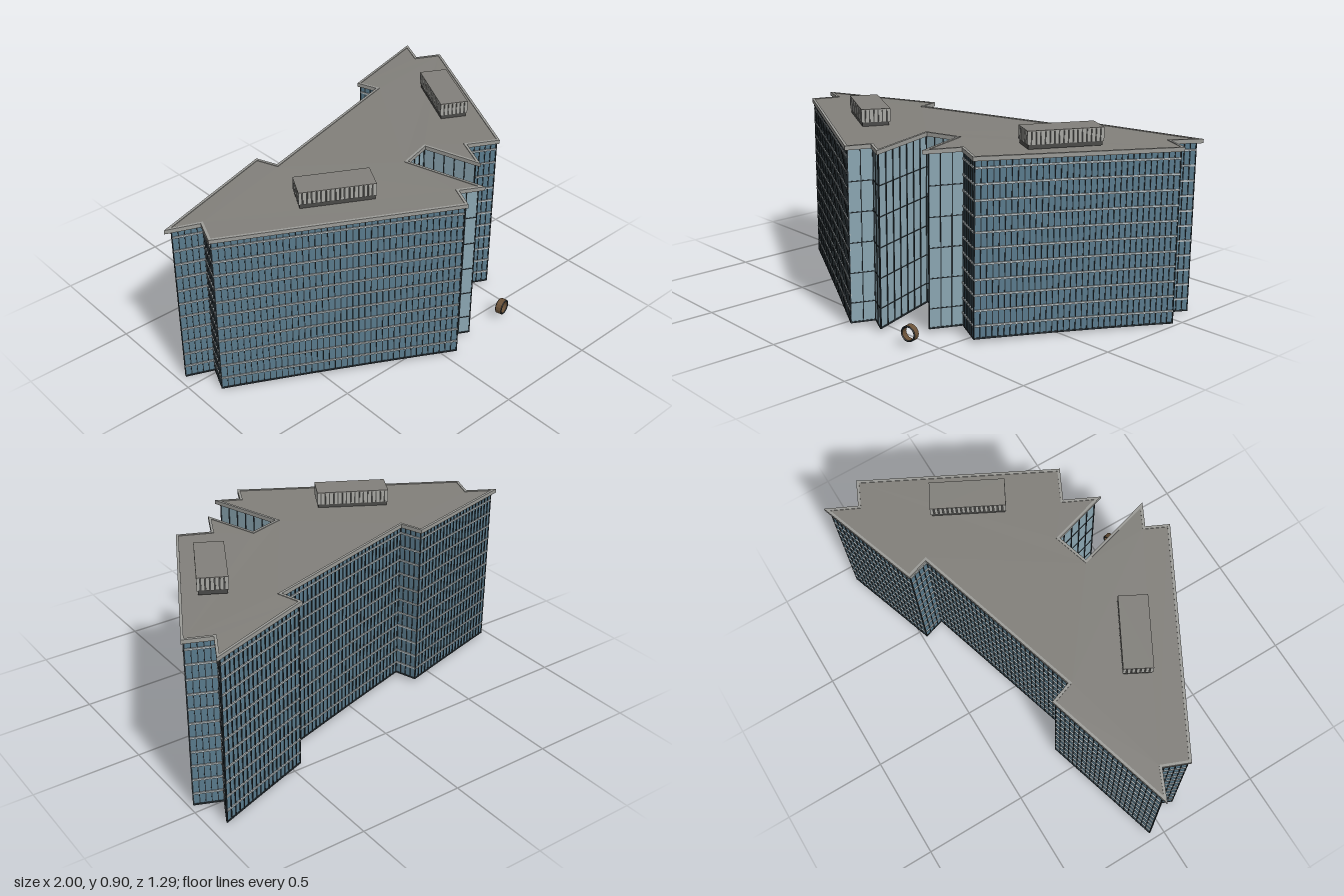
import * as THREE from 'three';
import { mergeGeometries } from 'three/addons/utils/BufferGeometryUtils.js';

// Roof outline as [x, z], clockwise seen from above
const OUTLINE = [
  [-1, -0.064], [-0.378, -0.246], [-0.342, -0.144], [0.476, -0.385], [0.444, -0.487], [0.947, -0.652],
  [0.877, -0.513], [0.995, -0.46], [0.556, 0.364], [0.412, 0.294], [0.337, 0.449], [0.257, 0.182],
  [0.107, 0.225], [0.214, 0.594], [0.107, 0.54], [0.059, 0.642], [-0.909, 0.118], [-0.861, 0],
].map(([x, z]) => new THREE.Vector2(x, z));
const ATRIUM_FIRST = 9, ATRIUM_LAST = 14; // wall indices with pale large-pane glazing
const BASE = 0.022, WALL_TOP = 0.81;

const mat = (color) => new THREE.MeshStandardMaterial({ color, side: THREE.DoubleSide, flatShading: true });
const MATS = {
  glass: mat(0x5a7b8d), paleGlass: mat(0x8ba6b2), mullion: mat(0x2b3439), band: mat(0xb4bcbf),
  rim: mat(0x9b9b97), deck: mat(0x82807b), dark: mat(0x4a4a48), louvre: mat(0xa9a9a4), ring: mat(0x6b5238),
};

// The whole block sags gently away from its centre
function sag(geo) {
  const p = geo.attributes.position;
  for (let i = 0; i < p.count; i++) p.setY(i, p.getY(i) - 0.0165 * (p.getX(i) ** 2 + p.getZ(i) ** 2));
  geo.computeVertexNormals();
  return geo;
}

function addPart(group, name, geos, material) {
  const mesh = new THREE.Mesh(sag(mergeGeometries(geos)), material);
  mesh.name = name;
  group.add(mesh);
}

const outward = (a, b) => new THREE.Vector2(b.y - a.y, a.x - b.x).normalize();

// Mitred inset of a closed outline
function inset(pts, t) {
  const n = pts.length;
  return pts.map((p, i) => {
    const n1 = outward(pts[(i + n - 1) % n], p), n2 = outward(p, pts[(i + 1) % n]);
    return p.clone().addScaledVector(n1.clone().add(n2), -t / (1 + n1.dot(n2)));
  });
}

// Flat slab from an outline, optionally with a hole
function slab(pts, y0, y1, hole) {
  const flip = (list) => list.map((p) => new THREE.Vector2(p.x, -p.y));
  const shape = new THREE.Shape(flip(pts));
  if (hole) shape.holes.push(new THREE.Path(flip(hole)));
  return new THREE.ExtrudeGeometry(shape, { depth: y1 - y0, bevelEnabled: false })
    .rotateX(-Math.PI / 2).translate(0, y0, 0);
}

// Tools for placing boxes along one wall: s = distance along, out = offset outward
function wallFrame(a, b) {
  const n = outward(a, b), d = b.clone().sub(a).normalize();
  const basis = new THREE.Matrix4().makeBasis(
    new THREE.Vector3(-d.x, 0, -d.y), new THREE.Vector3(0, 1, 0), new THREE.Vector3(n.x, 0, n.y));
  const place = (geo, s, y, out) => {
    const c = a.clone().addScaledVector(d, s).addScaledVector(n, out);
    return geo.applyMatrix4(basis).translate(c.x, y, c.y);
  };
  return {
    length: a.distanceTo(b),
    box: (s, y, w, h, t, out = 0) => place(new THREE.BoxGeometry(w, h, t, Math.max(1, Math.round(w / 0.06))), s, y, out),
    pane: (s, y, w, h) => place(new THREE.PlaneGeometry(w, h, Math.max(1, Math.round(w / 0.06))), s, y, 0),
  };
}

function buildWalls(group) {
  const pts = inset(OUTLINE, 0.012);
  const glass = [], pale = [], mullions = [], bands = [], joints = [], plinths = [];
  const mid = (BASE + WALL_TOP) / 2, height = WALL_TOP - BASE;
  pts.forEach((a, i) => {
    const w = wallFrame(a, pts[(i + 1) % pts.length]), L = w.length;
    const atrium = i >= ATRIUM_FIRST && i <= ATRIUM_LAST;
    (atrium ? pale : glass).push(w.pane(L / 2, mid, L, height));
    // Vertical mullions
    const bays = Math.max(2, Math.round(L / (atrium ? 0.05 : 0.027)));
    for (let k = 0; k <= bays; k++) {
      mullions.push(w.box((L * k) / bays, mid, 0.0035, height, 0.004, 0.002));
    }
    plinths.push(w.box(L / 2, BASE + 0.003, L, 0.007, 0.006));
    if (atrium) {
      for (let y = 0.115; y < 0.75; y += 0.138) joints.push(w.box(L / 2, y, L, 0.004, 0.005));
    } else {
      for (let k = 0; k < 11; k++) bands.push(w.box(L / 2, 0.082 + k * 0.0695, L, 0.008, 0.011));
    }
  });
  addPart(group, 'windowWalls', glass, MATS.glass);
  addPart(group, 'atriumGlass', pale, MATS.paleGlass);
  addPart(group, 'mullions', mullions, MATS.mullion);
  addPart(group, 'floorBands', bands, MATS.band);
  addPart(group, 'atriumJoints', joints, MATS.mullion);
  addPart(group, 'wallBase', plinths, MATS.mullion);
}

function buildRoof(group) {
  const inner = inset(OUTLINE, 0.012);
  addPart(group, 'roofRim', [slab(OUTLINE, 0.809, 0.828, inner)], MATS.rim);
  addPart(group, 'roofDeck', [slab(inner, 0.811, 0.825)], MATS.deck);
}

// Louvred plant enclosure on the roof
function plantRoom(name, x, z, length, width, yaw) {
  const group = new THREE.Group();
  group.name = name;
  const add = (part, geo, material) => {
    const mesh = new THREE.Mesh(geo, material);
    mesh.name = part;
    group.add(mesh);
  };
  const slats = [];
  const row = (span, fn) => {
    const n = Math.round(span / 0.02);
    for (let k = 0; k <= n; k++) fn(-span / 2 + (span * k) / n);
  };
  for (const side of [-1, 1]) {
    row(length - 0.014, (s) => slats.push(new THREE.BoxGeometry(0.014, 0.058, 0.005).translate(s, 0.867, side * (width / 2 - 0.0025))));
    row(width - 0.014, (s) => slats.push(new THREE.BoxGeometry(0.005, 0.058, 0.014).translate(side * (length / 2 - 0.0025), 0.867, s)));
  }
  add('plantCore', new THREE.BoxGeometry(length - 0.01, 0.076, width - 0.01).translate(0, 0.856, 0), MATS.dark);
  add('louvres', mergeGeometries(slats), MATS.louvre);
  add('plantLid', new THREE.BoxGeometry(length, 0.005, width).translate(0, 0.8955, 0), MATS.deck);
  group.position.set(x, 0, z);
  group.rotation.y = yaw;
  return group;
}

// Small upright ring in front of the entrance
function ringSculpture() {
  const R = 0.037, r = 0.029, h = 0.014;
  const profile = [[r, -h], [R, -h], [R, h], [r, h], [r, -h]].map(([x, y]) => new THREE.Vector2(x, y));
  const group = new THREE.Group();
  group.name = 'ringSculpture';
  const band = new THREE.Mesh(new THREE.LatheGeometry(profile, 16).rotateX(Math.PI / 2), MATS.ring);
  band.name = 'ringBand';
  const edges = new THREE.Mesh(mergeGeometries([-h, h].map((z) =>
    new THREE.TorusGeometry((R + r) / 2, 0.0035, 4, 16).translate(0, 0, z))), MATS.mullion);
  edges.name = 'ringEdges';
  group.add(band, edges);
  group.position.set(0.405, 0.064, 0.582);
  group.rotation.y = 0.25;
  return group;
}

export function createModel() {
  const model = new THREE.Group();
  model.name = 'officeBuilding';
  buildWalls(model);
  buildRoof(model);
  model.add(plantRoom('leftPlantRoom', 0.631, -0.077, 0.34, 0.132, 1.085));
  model.add(plantRoom('rightPlantRoom', -0.315, 0.213, 0.337, 0.132, -0.497));
  model.add(ringSculpture());
  return model;
}
